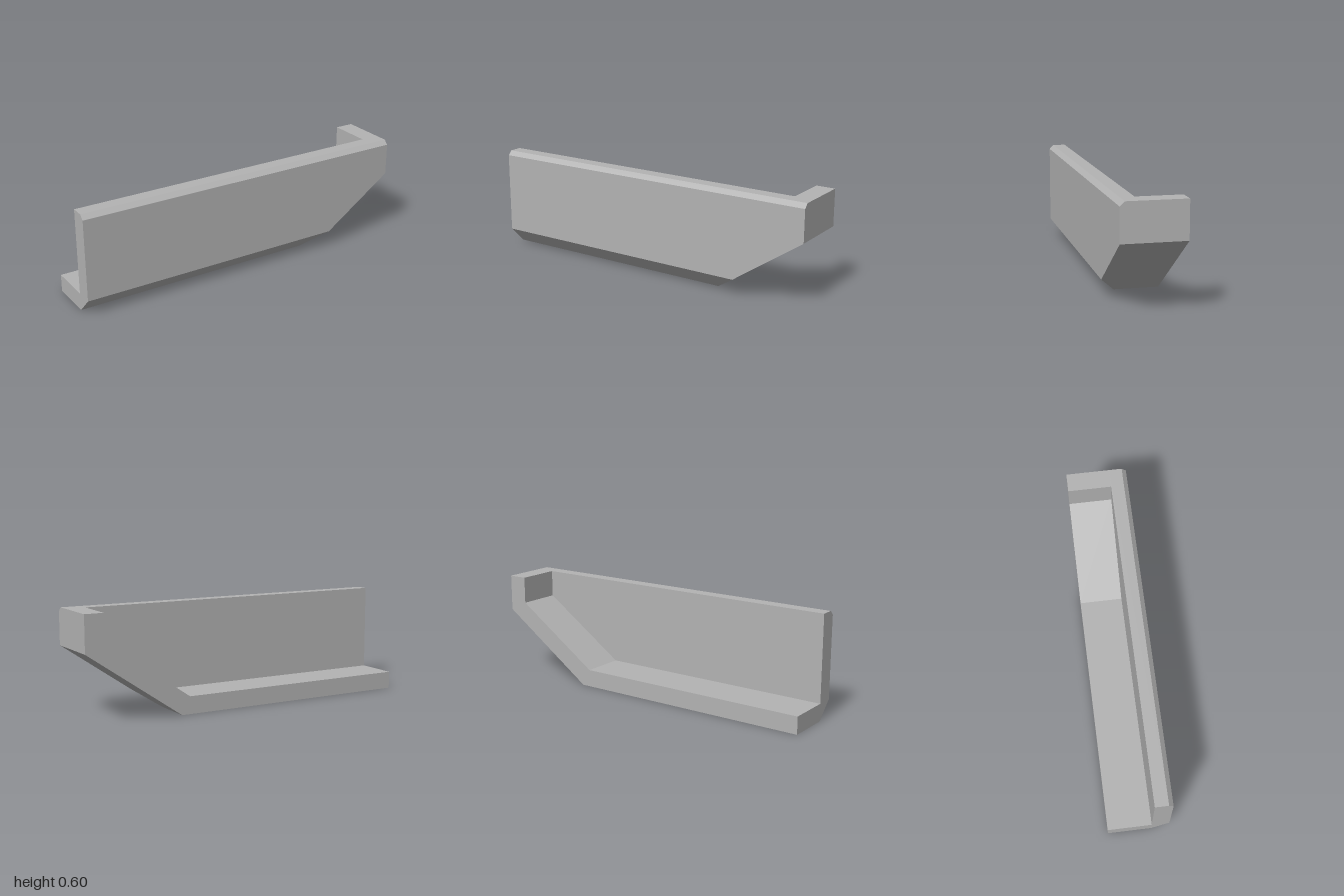
import * as THREE from 'three';

const SLOPE = 0.385 / 0.56; // rise of the slanted end
const TOP = 0.595;

// Outline of the front panel at depth z, with its bottom and top heights
function panelRing(z, bottom, top) {
  return [
    [-1, bottom, z],
    [0.44 + bottom / SLOPE, bottom, z],
    [1, 0.385, z],
    [1, top, z],
    [-1, top, z],
  ];
}

// Solid through a list of convex rings, running from back to front
function loft(rings) {
  const pos = [];
  const tri = (a, b, c) => pos.push(...a, ...b, ...c);
  const n = rings[0].length;
  for (let k = 0; k < rings.length - 1; k++) {
    for (let i = 0; i < n; i++) {
      const j = (i + 1) % n;
      const [a, b, c, d] = [rings[k][i], rings[k][j], rings[k + 1][j], rings[k + 1][i]];
      tri(a, b, c);
      tri(a, c, d);
    }
  }
  const back = rings[0], front = rings[rings.length - 1];
  for (let i = 1; i < n - 1; i++) {
    tri(back[0], back[i + 1], back[i]);
    tri(front[0], front[i], front[i + 1]);
  }
  const geo = new THREE.BufferGeometry();
  geo.setAttribute('position', new THREE.Float32BufferAttribute(pos, 3));
  geo.computeVertexNormals();
  return geo;
}

export function createModel() {
  const group = new THREE.Group();
  group.name = 'angledTrim';
  const grey = new THREE.MeshStandardMaterial({ color: 0xb3b3b3 });
  grey.name = 'grey';

  // Front panel with a wide lower bevel and a narrow upper bevel
  const panel = new THREE.Mesh(loft([
    panelRing(0.075, 0, TOP),
    panelRing(0.15, 0.075, TOP),
    panelRing(0.175, 0.1, TOP - 0.025),
  ]), grey);
  panel.name = 'frontPanel';
  group.add(panel);

  // Ledge behind the panel: floor, slanted end and short upright
  const profile = new THREE.Shape([
    [-1, 0], [0.44, 0], [1, 0.385], [1, TOP],
    [0.89, TOP], [0.89, 0.44], [0.39, 0.1], [-1, 0.1],
  ].map(([x, y]) => new THREE.Vector2(x, y)));
  const ledge = new THREE.Mesh(
    new THREE.ExtrudeGeometry(profile, { depth: 0.25, bevelEnabled: false }), grey);
  ledge.position.z = -0.175;
  ledge.name = 'rearLedge';
  group.add(ledge);

  return group;
}
